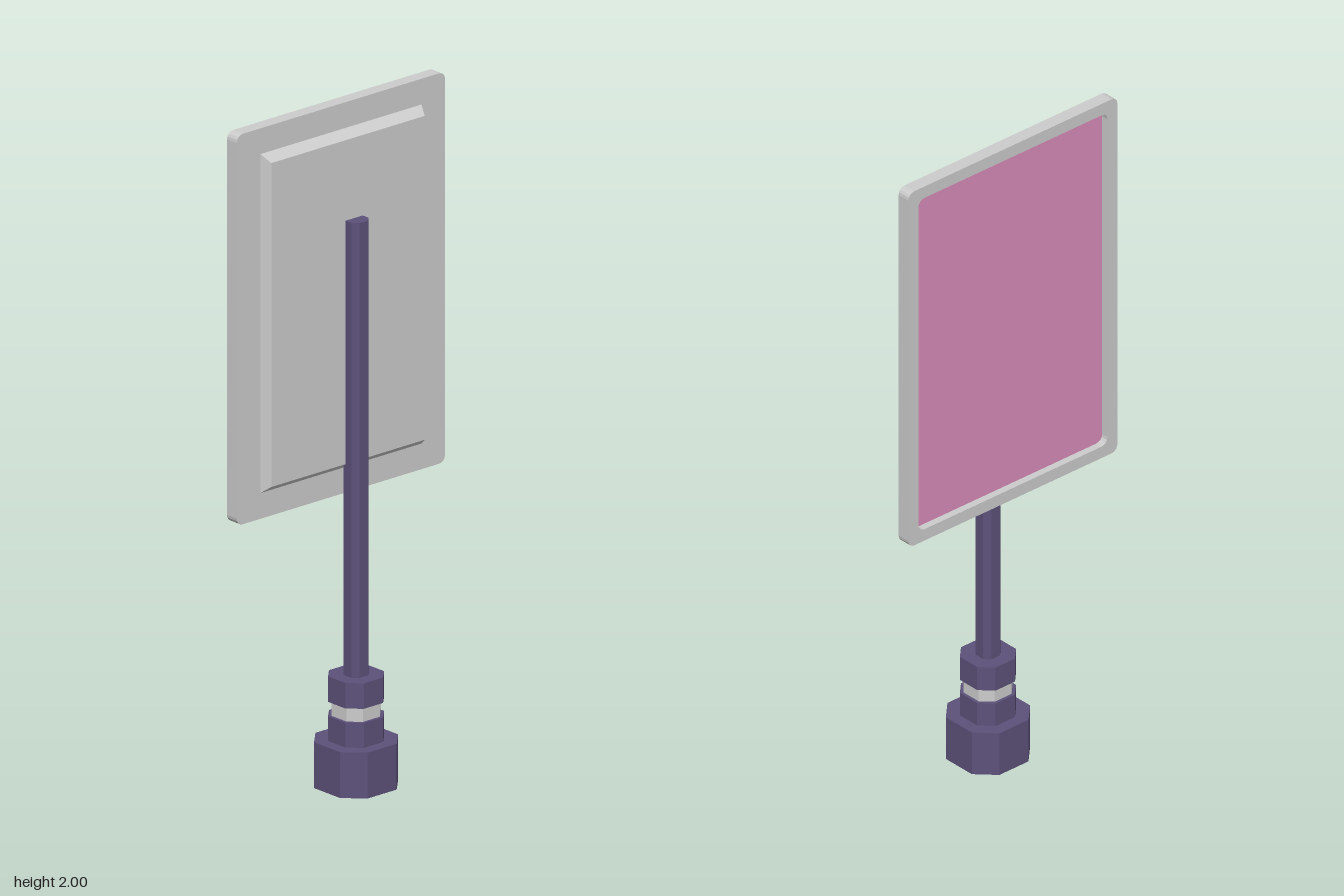
import * as THREE from 'three';

const grey = new THREE.MeshStandardMaterial({ color: 0xcccccc, flatShading: true });
const purple = new THREE.MeshStandardMaterial({ color: 0x5c517a, flatShading: true });
const pink = new THREE.MeshStandardMaterial({ color: 0xd98bbb, flatShading: true });

const POLE_Z = -0.023;
const PANEL_Y = 1.425;

// Rectangle with rounded corners, centred on the origin
function roundedRect(w, h, r, Target = THREE.Shape) {
  const s = new Target();
  const x = w / 2 - r, y = h / 2 - r;
  s.absarc(x, y, r, 0, Math.PI / 2);
  s.absarc(-x, y, r, Math.PI / 2, Math.PI);
  s.absarc(-x, -y, r, Math.PI, Math.PI * 1.5);
  s.absarc(x, -y, r, Math.PI * 1.5, Math.PI * 2);
  s.closePath();
  return s;
}

// Upright prism whose section is a square with cut corners
function cutPrism(name, half, y0, y1, material) {
  const c = half / 2;
  const corners = [[half, -c], [half, c], [c, half], [-c, half], [-half, c], [-half, -c], [-c, -half], [c, -half]];
  const shape = new THREE.Shape(corners.map(([x, y]) => new THREE.Vector2(x, y)));
  const geo = new THREE.ExtrudeGeometry(shape, { depth: y1 - y0, bevelEnabled: false });
  geo.rotateX(-Math.PI / 2);
  const mesh = new THREE.Mesh(geo, material);
  mesh.name = name;
  mesh.position.set(0, y0, POLE_Z);
  return mesh;
}

// Upright slab in the zy plane, growing from x towards -x
function slab(name, shape, x, depth, material) {
  const geo = new THREE.ExtrudeGeometry(shape, { depth, bevelEnabled: false, curveSegments: 2 });
  geo.rotateY(-Math.PI / 2);
  const mesh = new THREE.Mesh(geo, material);
  mesh.name = name;
  mesh.position.set(x, PANEL_Y, 0);
  return mesh;
}

export function createModel() {
  const model = new THREE.Group();
  model.name = 'panelOnStand';

  // Stand
  const stand = new THREE.Group();
  stand.name = 'stand';
  stand.add(
    cutPrism('base', 0.108, 0, 0.135, purple),
    cutPrism('neck', 0.072, 0.135, 0.208, purple),
    cutPrism('ring', 0.063, 0.208, 0.25, grey),
    cutPrism('collar', 0.072, 0.25, 0.325, purple),
    cutPrism('pole', 0.032, 0.325, 1.665, purple),
  );

  // Panel: back plate, raised rim and recessed screen
  const panel = new THREE.Group();
  panel.name = 'panel';
  const rimShape = roundedRect(0.774, 1.15, 0.022);
  rimShape.holes.push(roundedRect(0.7, 1.076, 0.022, THREE.Path));
  panel.add(
    slab('backPlate', roundedRect(0.774, 1.15, 0.022), -0.037, 0.017, grey),
    slab('rim', rimShape, -0.054, 0.024, grey),
    slab('screen', roundedRect(0.7, 1.076, 0.022), -0.053, 0.003, pink),
  );

  // Raised rear housing, narrowing towards +x
  const housingGeo = new THREE.BoxGeometry(0.03, 1, 0.6);
  const p = housingGeo.attributes.position;
  for (let i = 0; i < p.count; i++) {
    if (p.getX(i) > 0) {
      p.setY(i, p.getY(i) - Math.sign(p.getY(i)) * 0.023);
      p.setZ(i, p.getZ(i) - Math.sign(p.getZ(i)) * 0.015);
    }
  }
  housingGeo.computeVertexNormals();
  const housing = new THREE.Mesh(housingGeo, grey);
  housing.name = 'rearHousing';
  housing.position.set(-0.023, PANEL_Y, 0);
  panel.add(housing);

  model.add(stand, panel);
  return model;
}
